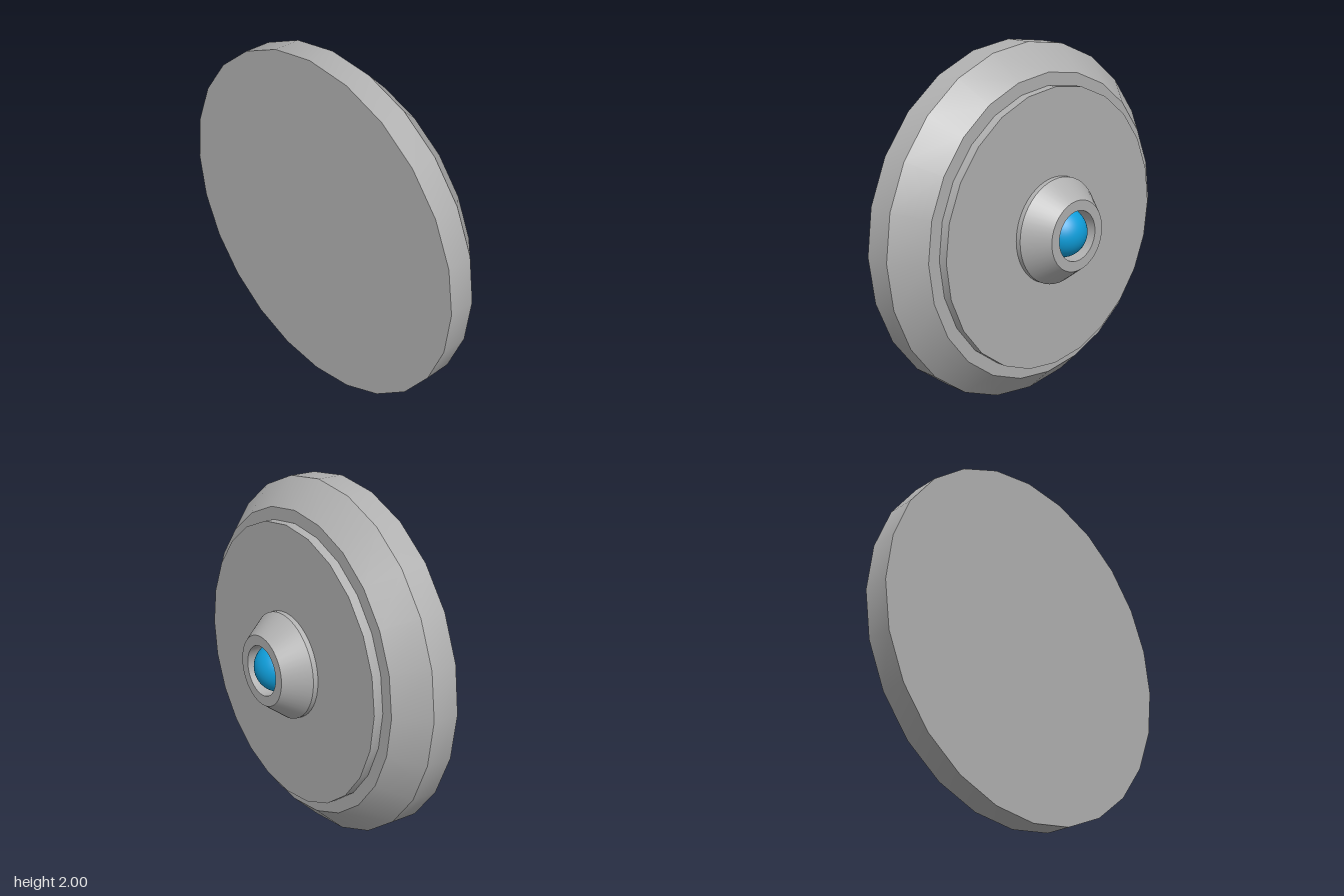
import * as THREE from 'three';
import { toCreasedNormals } from 'three/addons/utils/BufferGeometryUtils.js';

const grey = new THREE.MeshStandardMaterial({ color: 0xb0b0b0 });
grey.name = 'grey metal';
const blue = new THREE.MeshStandardMaterial({ color: 0x0f9fdc });
blue.name = 'blue glass';

// Turned part around the z axis; profile points are [radius, distance towards the back]
function turned(name, profile, sides, material = grey) {
  const points = profile.map(([r, d]) => new THREE.Vector2(r, d));
  const geometry = toCreasedNormals(new THREE.LatheGeometry(points, sides), 0.4);
  geometry.rotateX(-Math.PI / 2);
  const mesh = new THREE.Mesh(geometry, material);
  mesh.name = name;
  return mesh;
}

export function createModel() {
  const model = new THREE.Group();
  model.name = 'disc';

  // Flat-fronted body with a bevelled back, and the raised plate on it
  model.add(turned('body', [[0, -0.27], [1, -0.27], [1, -0.12], [0.855, 0.03], [0, 0.03]], 24));
  model.add(turned('backPlate', [[0, 0.03], [0.785, 0.03], [0.785, 0.083], [0, 0.083]], 24));

  // Tapered hub with a round socket
  model.add(turned('hub', [
    [0.298, 0.083], [0.298, 0.112], [0.197, 0.246], [0.14, 0.246], [0.14, 0.12], [0, 0.12],
  ], 48));

  // Domed lens in the socket
  const lens = new THREE.Mesh(
    new THREE.SphereGeometry(0.14, 40, 14, 0, Math.PI * 2, 0, Math.PI / 2), blue);
  lens.name = 'lens';
  lens.rotation.x = -Math.PI / 2;
  lens.position.z = -0.13;
  model.add(lens);

  model.position.y = 1;
  const root = new THREE.Group();
  root.name = 'model';
  root.add(model);
  return root;
}
